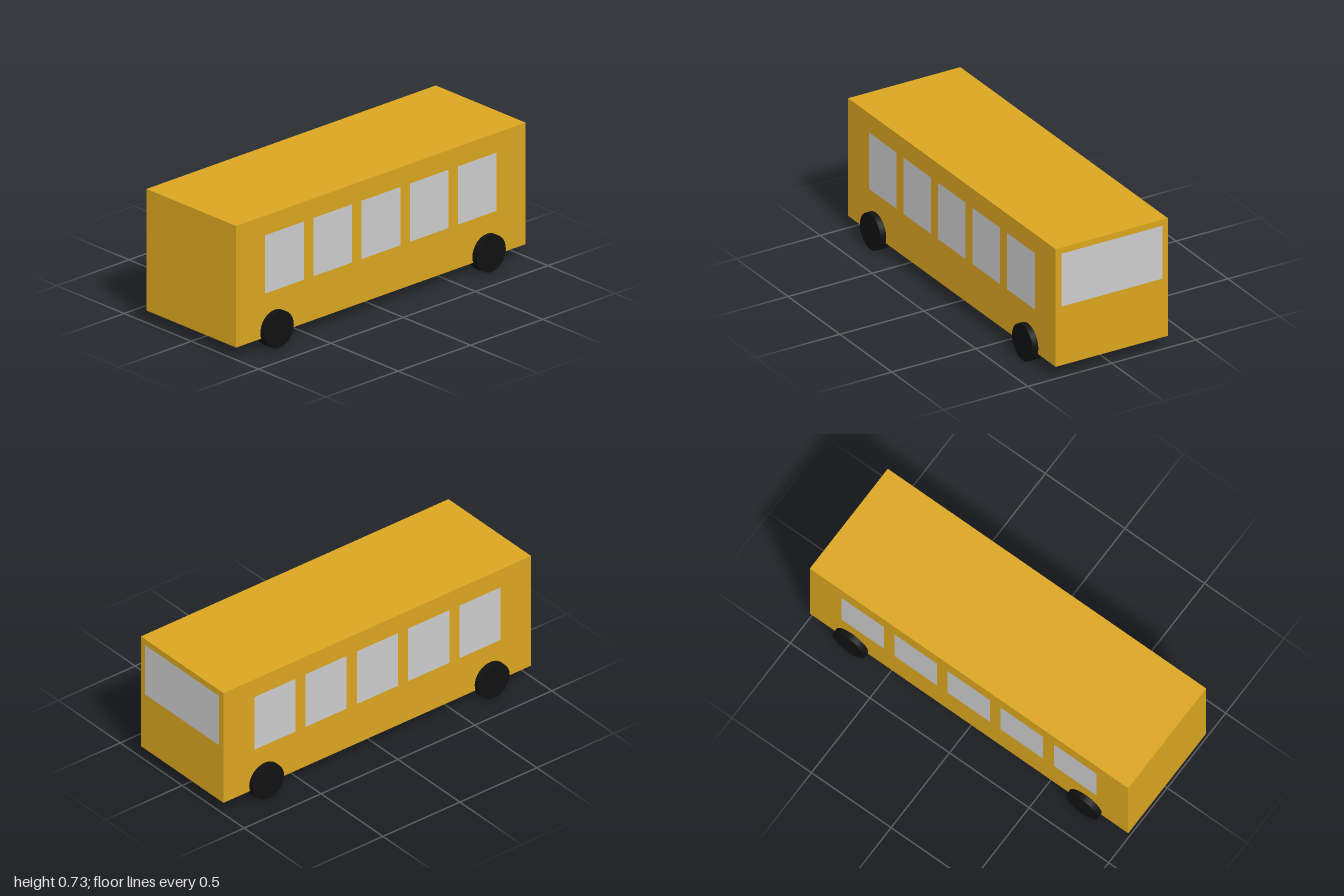
import * as THREE from 'three';

export function createModel() {
  const bus = new THREE.Group();
  bus.name = 'bus';

  const paint = new THREE.MeshStandardMaterial({ color: 0xdaa520 });
  const rubber = new THREE.MeshStandardMaterial({ color: 0x111111 });
  const glass = new THREE.MeshStandardMaterial({ color: 0xcccccc });

  const add = (name, geometry, material, x, y, z) => {
    const mesh = new THREE.Mesh(geometry, material);
    mesh.name = name;
    mesh.position.set(x, y, z);
    bus.add(mesh);
    return mesh;
  };

  // Body shell
  const width = 0.667, height = 0.667, length = 2, floor = 0.067;
  add('body', new THREE.BoxGeometry(width, height, length), paint, 0, floor + height / 2, 0);

  // Wide window across the back, a hair proud of the body
  const gap = 0.001;
  const wide = add('rearWindow', new THREE.PlaneGeometry(0.6, 0.3), glass, 0, 0.55, -length / 2 - gap);
  wide.rotation.y = Math.PI;

  const pane = new THREE.PlaneGeometry(0.267, 0.32);
  const wheel = new THREE.CylinderGeometry(0.1, 0.1, 0.067, 32).rotateZ(Math.PI / 2);

  for (const side of [-1, 1]) {
    const label = side > 0 ? 'left' : 'right';

    // Row of five evenly spaced side windows
    for (let i = -2; i <= 2; i++) {
      const window = add(`${label}Window${i + 3}`, pane, glass, side * (width / 2 + gap), 0.467, i / 3);
      window.rotation.y = side * Math.PI / 2;
    }

    // Wheels, half sunk into the body sides
    add(`${label}FrontWheel`, wheel, rubber, side * width / 2, 0.1, 0.733);
    add(`${label}RearWheel`, wheel, rubber, side * width / 2, 0.1, -0.733);
  }
  return bus;
}
